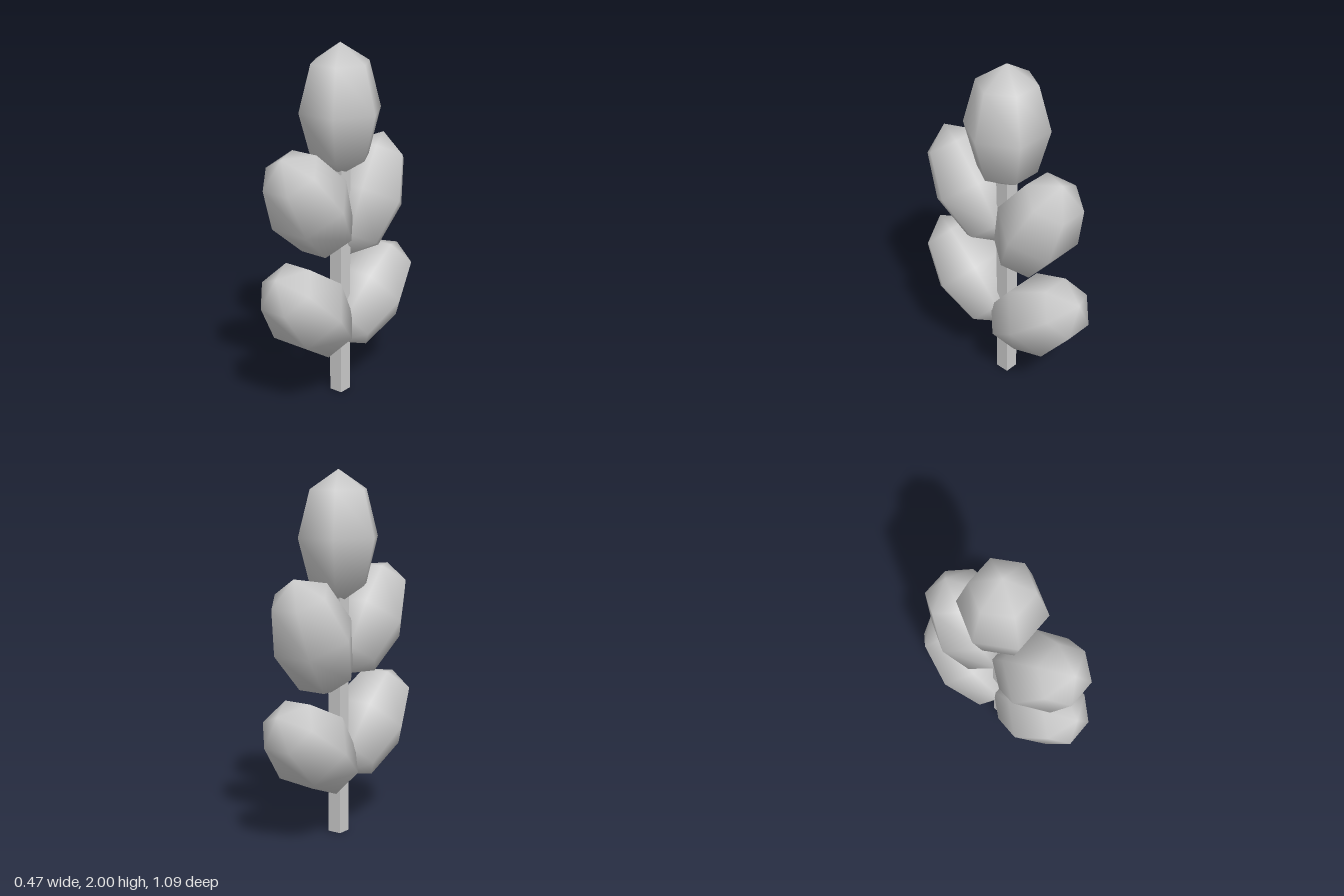
import * as THREE from 'three';

export function createModel() {
  const group = new THREE.Group();
  const material = new THREE.MeshStandardMaterial({ color: 0xcccccc });
  const axisZ = -0.012;

  // Square stem, its top end tucked into the crown leaf
  const stem = new THREE.Mesh(new THREE.BoxGeometry(0.08, 1.34, 0.08), material);
  stem.name = 'stem';
  stem.position.set(0, 0.67, axisZ);
  group.add(stem);

  // Every leaf is the same six-sided, smooth-shaded ellipsoid
  const leafGeometry = new THREE.SphereGeometry(1, 6, 4);
  leafGeometry.scale(0.234, 0.36, 0.234);

  // Name, height, depth and tilt towards the front in degrees
  const leaves = [
    ['crownLeaf', 1.64, axisZ, 0],
    ['upperFrontLeaf', 1.177, 0.247, 36],
    ['upperBackLeaf', 1.123, -0.237, -26.5],
    ['lowerFrontLeaf', 0.577, 0.267, 44.5],
    ['lowerBackLeaf', 0.527, -0.258, -52.3],
  ];
  for (const [name, y, z, tilt] of leaves) {
    const leaf = new THREE.Mesh(leafGeometry, material);
    leaf.name = name;
    leaf.position.set(0, y, z);
    leaf.rotation.x = THREE.MathUtils.degToRad(tilt);
    group.add(leaf);
  }

  return group;
}
